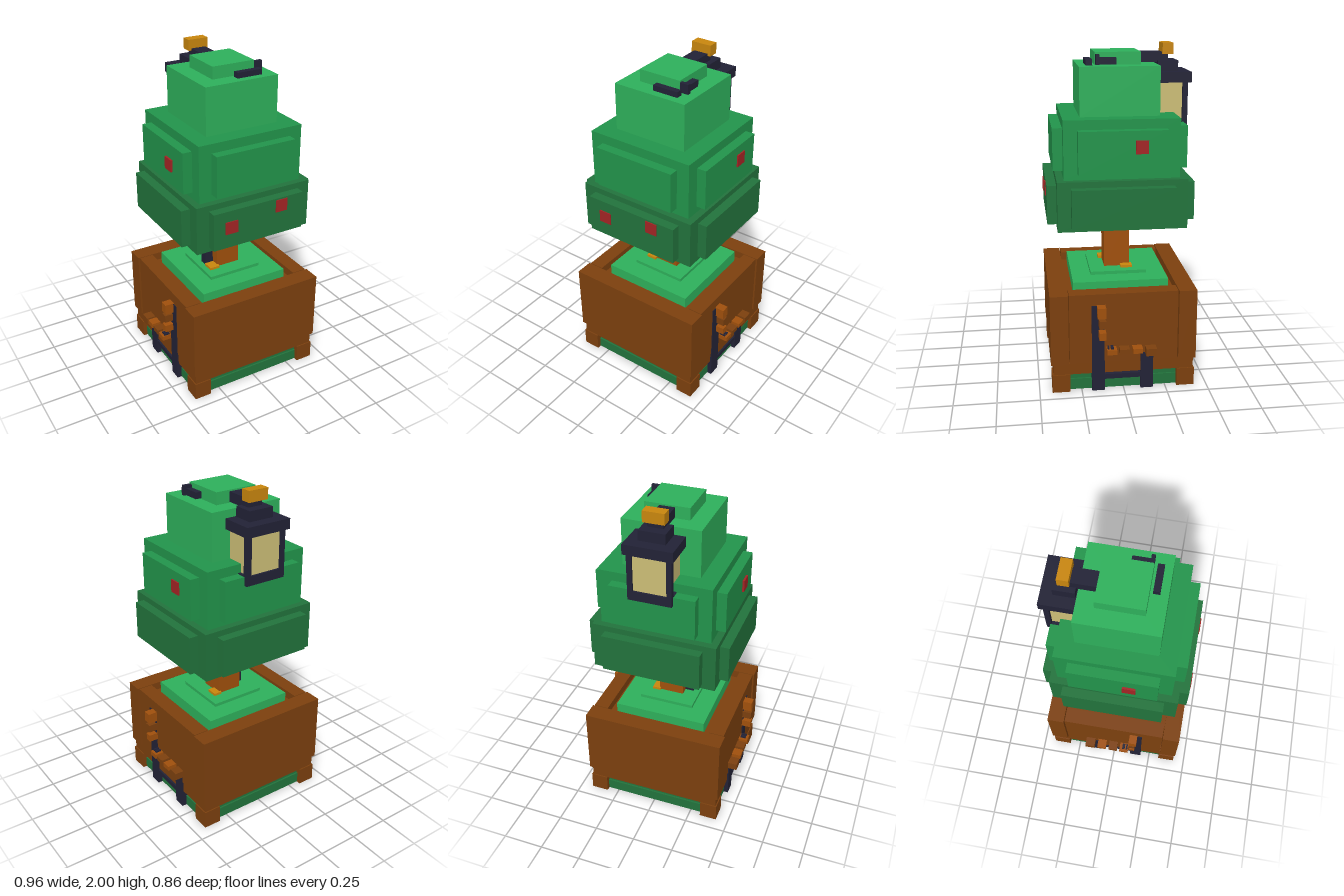
import * as THREE from 'three';

const mat = (name, color) => {
  const m = new THREE.MeshStandardMaterial({ color });
  m.name = name;
  return m;
};

export function createModel() {
  const root = new THREE.Group();
  root.name = 'pottedTree';

  const darkGreen = mat('dark green', 0x22733c);
  const midGreen = mat('mid green', 0x22944b);
  const lightGreen = mat('light green', 0x2eb05b);
  const brown = mat('planter brown', 0x7c400e);
  const orange = mat('trunk orange', 0xa0500c);
  const dark = mat('dark iron', 0x222236);
  const gold = mat('gold', 0xc8860e);
  const cream = mat('lantern glass', 0xccbe76);
  const red = mat('berry red', 0xa32424);

  // Box from its minimum and maximum along each axis
  const box = (name, m, x0, x1, y0, y1, z0, z1, parent = root) => {
    const mesh = new THREE.Mesh(new THREE.BoxGeometry(x1 - x0, y1 - y0, z1 - z0), m);
    mesh.position.set((x0 + x1) / 2, (y0 + y1) / 2, (z0 + z1) / 2);
    mesh.name = name;
    parent.add(mesh);
    return mesh;
  };
  // Square box centred on the axis
  const block = (name, m, r, y0, y1, parent = root) => box(name, m, -r, r, y0, y1, -r, r, parent);
  const group = (name) => {
    const g = new THREE.Group();
    g.name = name;
    root.add(g);
    return g;
  };

  // Planter: base, feet, lower rim, walls and floor
  const planter = group('planter');
  block('baseSlab', darkGreen, 0.4, 0.003, 0.07, planter);
  block('baseUpperSlab', darkGreen, 0.39, 0.07, 0.11, planter);
  box('basePlate', red, -0.19, 0.19, 0, 0.004, -0.19, 0.19, planter);
  for (const sx of [-1, 1]) for (const sz of [-1, 1]) {
    const foot = box('foot', brown, -0.053, 0.053, 0, 0.11, -0.053, 0.053, planter);
    foot.position.x = sx * 0.372;
    foot.position.z = sz * 0.372;
  }
  block('lowerRim', brown, 0.418, 0.11, 0.18, planter);
  block('planterFloor', brown, 0.34, 0.18, 0.56, planter);
  for (const s of [-1, 1]) {
    const end = box('endWall', brown, -0.432, 0.432, 0.18, 0.61, -0.053, 0.053, planter);
    end.position.z = s * 0.378;
    const side = box('sideWall', brown, -0.045, 0.045, 0.18, 0.61, -0.32, 0.32, planter);
    side.position.x = s * 0.378;
  }

  // Soil mound and roots
  block('mossLayer', lightGreen, 0.285, 0.55, 0.635);
  block('mossTop', lightGreen, 0.17, 0.635, 0.655);
  box('leftRoot', gold, 0.07, 0.12, 0.65, 0.67, -0.09, -0.02);
  box('rightRoot', gold, -0.135, -0.07, 0.65, 0.67, 0.03, 0.1);

  // Trunk and support post
  block('trunk', orange, 0.077, 0.65, 0.98);
  box('trunkPost', dark, -0.13, -0.077, 0.65, 0.98, -0.025, 0.025);

  // Side frames with small stepped blocks, mirrored left and right
  const steps = [
    [orange, 0.48, 0.545, 0.11, 0.16], [brown, 0.415, 0.463, 0.11, 0.15],
    [orange, 0.345, 0.39, 0.11, 0.15], [orange, 0.25, 0.28, 0.047, 0.105],
    [brown, 0.25, 0.28, -0.028, 0.03], [orange, 0.25, 0.28, -0.105, -0.047],
    [brown, 0.23, 0.275, -0.188, -0.125],
  ];
  for (const s of [-1, 1]) {
    const frame = group(s > 0 ? 'leftFrame' : 'rightFrame');
    const part = (name, m, x0, x1, ...rest) =>
      box(name, m, s > 0 ? x0 : -x1, s > 0 ? x1 : -x0, ...rest, frame);
    part('tallPost', dark, 0.36, 0.428, 0, 0.54, 0.115, 0.19);
    part('shortPost', dark, 0.36, 0.428, 0, 0.23, -0.175, -0.1);
    part('crossBar', dark, 0.37, 0.424, 0.07, 0.1, -0.1, 0.115);
    for (const [m, y0, y1, z0, z1] of steps) part('stepBlock', m, 0.415, 0.48, y0, y1, z0, z1);
    part('nub', dark, 0.43, 0.465, 0.275, 0.29, 0.065, 0.082);
    part('nub', dark, 0.43, 0.465, 0.275, 0.29, 0.09, 0.1);
  }

  // Foliage tiers with raised panels on four sides
  const tier = (name, m, r, y0, y1, out, half, p0, p1) => {
    const g = group(name);
    block('tierCore', m, r, y0, y1, g);
    box('sidePanels', m, -out, out, p0, p1, -half, half, g);
    box('endPanels', m, -half, half, p0, p1, -out, out, g);
  };
  tier('lowerFoliage', darkGreen, 0.372, 0.975, 1.265, 0.427, 0.295, 1.003, 1.23);
  tier('middleFoliage', midGreen, 0.331, 1.265, 1.605, 0.388, 0.253, 1.305, 1.55);
  block('upperFoliage', lightGreen, 0.23, 1.605, 1.885);
  block('foliageCap', lightGreen, 0.132, 1.885, 1.957);

  // Berries as thin plates
  box('frontBerry', red, -0.22, -0.142, 1.09, 1.165, 0.425, 0.433);
  box('frontBerry', red, 0.11, 0.185, 1.145, 1.22, 0.425, 0.433);
  box('leftBerry', red, 0.387, 0.396, 1.42, 1.495, -0.14, -0.068);
  box('rightBerry', red, -0.4, -0.387, 1.393, 1.465, 0.055, 0.13);

  // Dark twigs on the crown
  box('frontTwig', dark, -0.005, 0.153, 1.883, 1.917, 0.148, 0.185);
  box('sideTwig', dark, 0.13, 0.17, 1.89, 1.928, 0.012, 0.13);
  box('twigTip', dark, 0.13, 0.185, 1.89, 1.947, 0.11, 0.131);

  // Lantern hung on the back
  const lantern = group('lantern');
  box('lanternGlass', cream, -0.11, 0.11, 1.55, 1.78, -0.398, -0.225, lantern);
  for (const s of [-1, 1]) {
    const post = box('lanternPost', dark, -0.015, 0.015, 1.5, 1.79, -0.41, -0.38, lantern);
    post.position.x = s * 0.113;
  }
  box('lanternBase', dark, -0.128, 0.128, 1.5, 1.555, -0.41, -0.235, lantern);
  box('lanternRoof', dark, -0.143, 0.143, 1.78, 1.84, -0.428, -0.232, lantern);
  box('lanternCap', dark, -0.078, 0.078, 1.84, 1.9, -0.36, -0.24, lantern);
  box('lanternArm', dark, -0.045, 0.045, 1.89, 1.948, -0.305, -0.13, lantern);
  box('lanternFinial', gold, -0.063, 0.063, 1.935, 2.0, -0.333, -0.27, lantern);

  return root;
}
